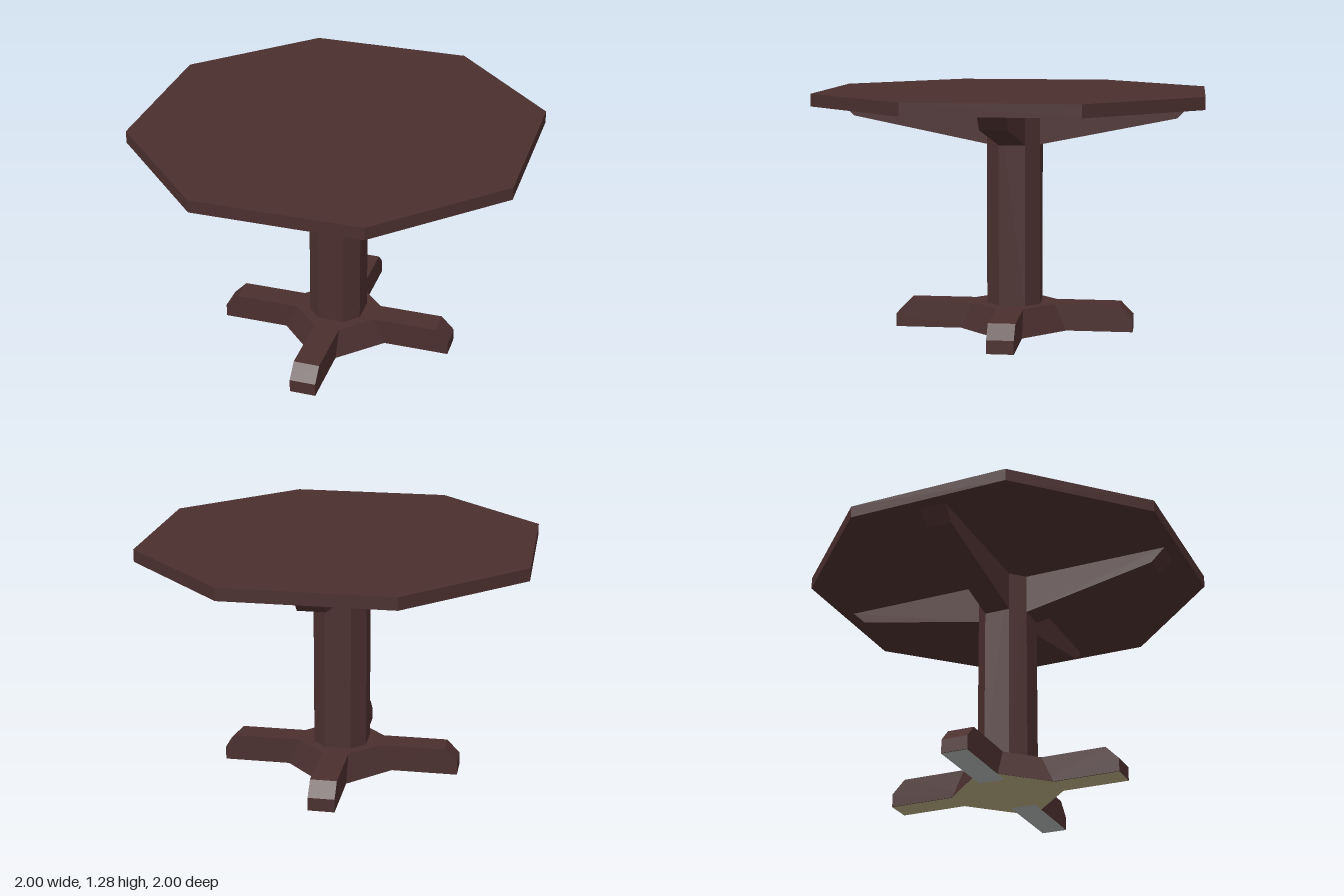
import * as THREE from 'three';
import { ConvexGeometry } from 'three/addons/geometries/ConvexGeometry.js';

// Corners of an eight-sided outline: flats of half length a at distance b.
const octagon = (a, b) => [[a, b], [b, a], [b, -a], [a, -b], [-a, -b], [-b, -a], [-b, a], [-a, b]];

// Eight-sided block between a lower and an upper outline.
function octagonBlock(y0, a0, b0, y1, a1, b1) {
  const points = [
    ...octagon(a0, b0).map(([x, z]) => new THREE.Vector3(x, y0, z)),
    ...octagon(a1, b1).map(([x, z]) => new THREE.Vector3(x, y1, z)),
  ];
  return new ConvexGeometry(points);
}

const outline = (points) => new THREE.Shape(points.map(([x, y]) => new THREE.Vector2(x, y)));

export function createModel() {
  const wood = new THREE.MeshStandardMaterial({ color: 0x4b2f2f });
  const olive = new THREE.MeshStandardMaterial({ color: 0xb1a47d });
  const grey = new THREE.MeshStandardMaterial({ color: 0xa9b0ad });
  wood.name = 'dark wood';
  olive.name = 'olive underside';
  grey.name = 'grey underside';

  const HALF = 0.07; // half width of feet and brackets
  const table = new THREE.Group();
  table.name = 'table';

  const add = (name, geometry, material, angle = 0) => {
    const mesh = new THREE.Mesh(geometry, material);
    mesh.name = name;
    mesh.rotation.y = angle;
    table.add(mesh);
  };

  // Top, column and the sloped hub of the base
  add('tabletop', octagonBlock(1.22, 0.43, 1, 1.285, 0.43, 1), wood);
  add('column', octagonBlock(0.145, HALF, 0.142, 1.22, HALF, 0.142), wood);
  add('baseHub', octagonBlock(0.002, HALF, 0.285, 0.145, HALF, 0.22), wood);

  // Side profiles swept across the width of each arm
  const sweep = (points) =>
    new THREE.ExtrudeGeometry(outline(points), { depth: 2 * HALF, bevelEnabled: false }).translate(0, 0, -HALF);
  const foot = sweep([[0.2, 0.002], [0.64, 0.002], [0.64, 0.073], [0.57, 0.145], [0.2, 0.145]]);
  const bracket = sweep([[0.13, 1.0], [0.142, 1.003], [0.858, 1.147], [0.932, 1.22], [0.13, 1.22]]);

  // Flat faces under the base, looking down
  const underside = (points, y) =>
    new THREE.ShapeGeometry(outline(points)).rotateX(Math.PI / 2).translate(0, y, 0);
  const footSole = underside([[0.2, -HALF], [0.64, -HALF], [0.64, HALF], [0.2, HALF]], 0);
  add('hubSole', underside(octagon(HALF, 0.285), 0.001), olive);

  for (let i = 0; i < 4; i++) {
    const angle = (i * Math.PI) / 2;
    add('foot', foot, wood, angle);
    add('bracket', bracket, wood, angle);
    add('footSole', footSole, i % 2 ? olive : grey, angle);
  }
  return table;
}
